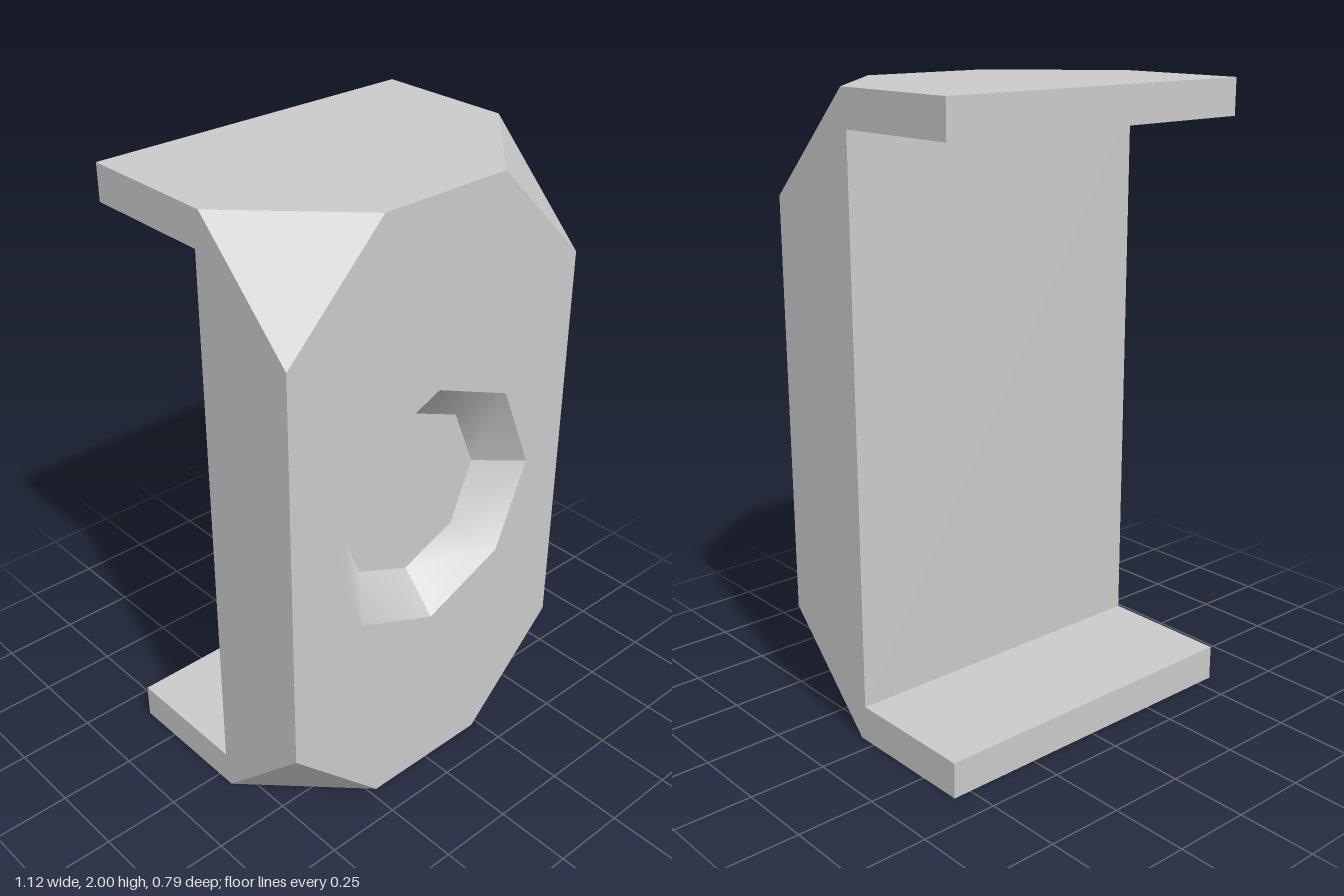
import * as THREE from 'three';
import { mergeGeometries } from 'three/addons/utils/BufferGeometryUtils.js';

const W = 0.56, H = 1, D = 0.397;   // half width, half height, half depth
const CUT = 0.335;                  // corner bevel length
const BACK = 0.04;                  // rear plane of the front slab
const LIP = 0.885;                  // inner height of the flanges
const RIM = 0.406, FLOOR = 0.28, DEPTH = 0.117, SIDES = 8;

// Flat panel from a 2D outline, turned about x or y and moved into place
function panel(outline, rx, ry, x, y, z, hole) {
  const shape = new THREE.Shape(outline.map(([a, b]) => new THREE.Vector2(a, b)));
  if (hole) shape.holes.push(new THREE.Path(hole));
  const g = new THREE.ShapeGeometry(shape).toNonIndexed();
  g.deleteAttribute('uv');
  return g.rotateX(rx).rotateY(ry).translate(x, y, z);
}

const rect = (a, b, c, d) => [[a, b], [c, b], [c, d], [a, d]];

// Triangle across one front corner, facing outward
function bevel(sx, sy) {
  const p = [
    new THREE.Vector3(sx * (W - CUT), sy * H, D),
    new THREE.Vector3(sx * W, sy * (H - CUT), D),
    new THREE.Vector3(sx * W, sy * H, D - CUT),
  ];
  if (sx * sy < 0) p.reverse();
  const g = new THREE.BufferGeometry().setFromPoints(p);
  g.computeVertexNormals();
  return g;
}

export function createModel() {
  const model = new THREE.Group();
  model.name = 'bracket';
  const grey = new THREE.MeshStandardMaterial({ color: 0xcccccc });
  const add = (name, geometry) => {
    const mesh = new THREE.Mesh(geometry, grey);
    mesh.name = name;
    mesh.position.y = H;
    model.add(mesh);
  };
  const Q = Math.PI / 2;

  // Front face: octagon with an eight-sided opening
  const hole = Array.from({ length: SIDES }, (_, i) => {
    const a = (i / SIDES) * Math.PI * 2;
    return new THREE.Vector2(RIM * Math.cos(a), RIM * Math.sin(a));
  });
  const w = W - CUT, h = H - CUT, d = D - CUT;
  const front = [[w, -H], [W, -h], [W, h], [w, H], [-w, H], [-W, h], [-W, -h], [-w, -H]];
  const shell = [
    panel(front, 0, 0, 0, 0, D, hole),
    panel(rect(-W, -LIP, W, LIP), 0, Math.PI, 0, 0, BACK),
  ];

  for (const s of [1, -1]) {
    // C-shaped side, drawn in (z, y)
    const side = [[D, -h], [D, h], [d, H], [-D, H], [-D, LIP], [BACK, LIP],
      [BACK, -LIP], [-D, -LIP], [-D, -H], [d, -H]];
    shell.push(panel(side.map(([z, y]) => [-s * z, y]), 0, s * Q, s * W, 0, 0));

    // Flange: outer face, inner face and rear edge
    const outer = [[-W, -D], [W, -D], [W, d], [w, D], [-w, D], [-W, d]];
    shell.push(panel(outer.map(([x, z]) => [x, -s * z]), -s * Q, 0, 0, s * H, 0));
    const inner = rect(-W, -D, W, BACK);
    shell.push(panel(inner.map(([x, z]) => [x, s * z]), s * Q, 0, 0, s * LIP, 0));
    shell.push(panel(rect(-W, s * LIP, W, s * H), 0, Math.PI, 0, 0, -D));

    // Front corner bevels
    for (const sx of [1, -1]) shell.push(bevel(sx, s));
  }
  add('shell', mergeGeometries(shell));

  // Recess wall in four quarters, each smooth within itself, and a flat floor
  const wall = [new THREE.Vector2(RIM, 0), new THREE.Vector2(FLOOR, -DEPTH)];
  const quarters = [0, 1, 2, 3].map((i) => {
    const g = new THREE.LatheGeometry(wall, SIDES / 4, i * Q, Q);
    g.computeVertexNormals();
    return g.rotateX(Q).translate(0, 0, D);
  });
  add('recessWall', mergeGeometries(quarters));
  add('recessFloor', new THREE.CircleGeometry(FLOOR, SIDES).translate(0, 0, D - DEPTH));

  return model;
}
